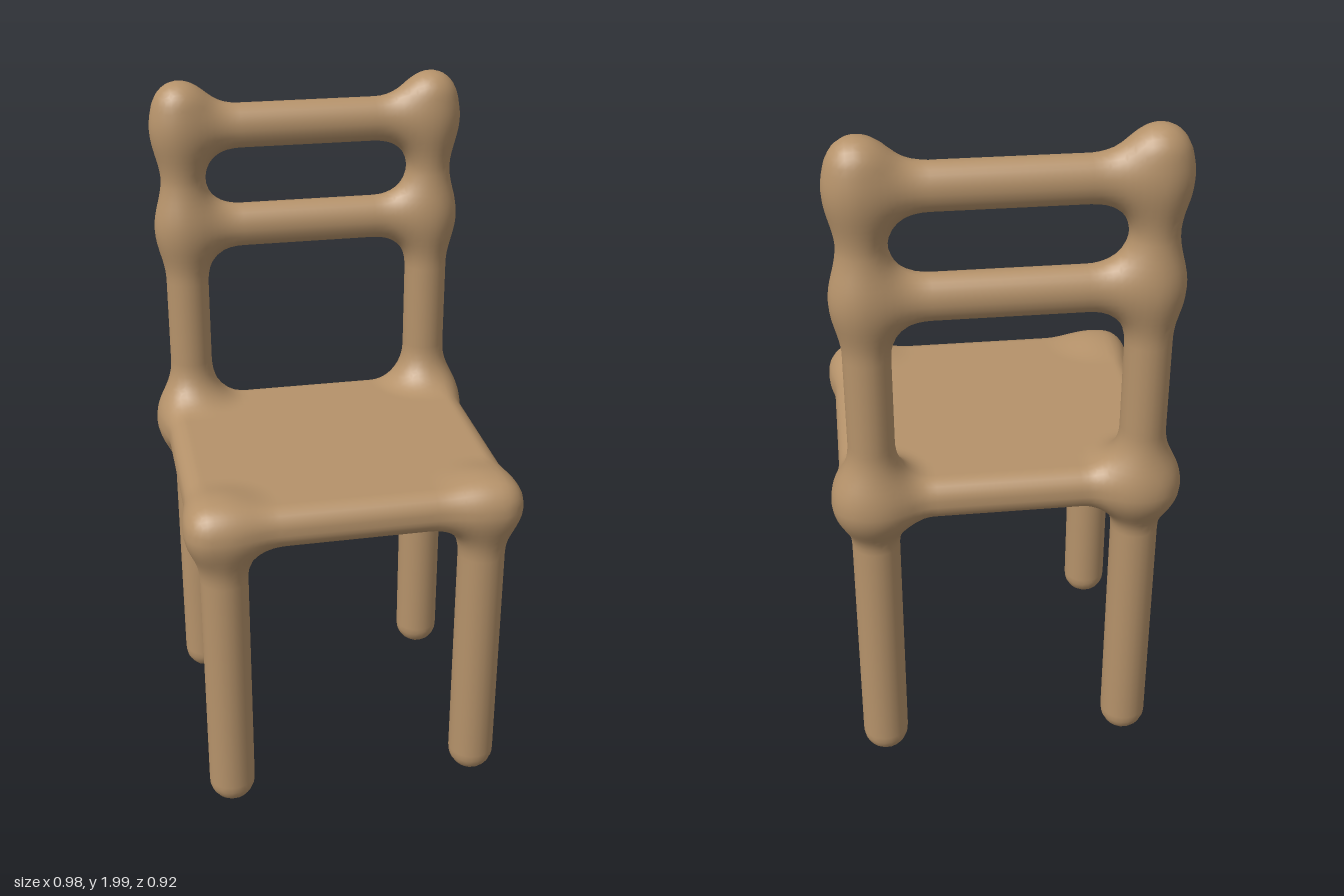
import * as THREE from 'three';

const BLEND = 0.11; // reach of the soft fillets where parts meet
const CELL = 0.02; // surface sampling step

// Distance to a capsule from a to b; zScale above 1 flattens it in depth
function capsule(name, a, b, r, zScale = 1) {
  const d = b.map((v, i) => v - a[i]);
  const len2 = d[0] ** 2 + d[1] ** 2 + d[2] ** 2;
  const dist = (x, y, z) => {
    const px = x - a[0], py = y - a[1], pz = z - a[2];
    const t = Math.min(1, Math.max(0, (px * d[0] + py * d[1] + pz * d[2]) / len2));
    return Math.hypot(px - d[0] * t, py - d[1] * t, (pz - d[2] * t) * zScale) - r;
  };
  return { name, dist };
}

// Distance to a box with rounded edges
function roundedBox(name, c, half, r) {
  const dist = (x, y, z) => {
    const qx = Math.abs(x - c[0]) - half[0] + r;
    const qy = Math.abs(y - c[1]) - half[1] + r;
    const qz = Math.abs(z - c[2]) - half[2] + r;
    return Math.hypot(Math.max(qx, 0), Math.max(qy, 0), Math.max(qz, 0))
      + Math.min(Math.max(qx, qy, qz), 0) - r;
  };
  return { name, dist };
}

function chairParts() {
  const parts = [roundedBox('seat', [0, 0.948, 0.007], [0.465, 0.0625, 0.425], 0.056)];
  for (const [side, s] of [['left', 1], ['right', -1]]) {
    const x = 0.373 * s;
    parts.push(capsule(side + 'FrontLeg', [x, 0.073, 0.355], [x, 0.93, 0.355], 0.068));
    parts.push(capsule(side + 'BackLeg', [x, 0.073, -0.335], [x, 0.93, -0.335], 0.068));
    parts.push(capsule(side + 'BackPost', [x, 0.95, -0.366], [x, 1.932, -0.366], 0.064));
  }
  for (const [name, y] of [['lowerRail', 1.565], ['upperRail', 1.865]]) {
    parts.push(capsule(name, [-0.37, y, -0.367], [0.37, y, -0.367], 0.065, 1.2));
  }
  return parts;
}

export function createModel() {
  const group = new THREE.Group();
  group.name = 'chair';
  const wood = new THREE.MeshStandardMaterial({ color: 0xb5926a });
  wood.name = 'wood';
  const parts = chairParts();

  // All parts melted together with a smooth minimum
  const field = (x, y, z) => {
    let d = Infinity;
    for (const p of parts) {
      const e = p.dist(x, y, z);
      const h = Math.max(BLEND - Math.abs(d - e), 0) / BLEND;
      d = Math.min(d, e) - h * h * BLEND / 4;
    }
    return d;
  };
  const gradient = ([x, y, z], e = 0.002) => [
    (field(x + e, y, z) - field(x - e, y, z)) / (2 * e),
    (field(x, y + e, z) - field(x, y - e, z)) / (2 * e),
    (field(x, y, z + e) - field(x, y, z - e)) / (2 * e),
  ];

  // Sample the field on a grid
  const origin = [-0.53, -0.05, -0.51];
  const n = [54, 107, 52];
  const stride = [1, n[0], n[0] * n[1]];
  const values = new Float32Array(n[0] * n[1] * n[2]);
  const at = (i, j, k) => i + j * stride[1] + k * stride[2];
  const eachCell = (from, fn) => {
    for (let k = from; k < n[2] - 1; k++)
      for (let j = from; j < n[1] - 1; j++)
        for (let i = from; i < n[0] - 1; i++) fn([i, j, k], at(i, j, k));
  };
  for (let k = 0; k < n[2]; k++)
    for (let j = 0; j < n[1]; j++)
      for (let i = 0; i < n[0]; i++)
        values[at(i, j, k)] = field(origin[0] + i * CELL, origin[1] + j * CELL, origin[2] + k * CELL);

  // One vertex per crossed cell, pulled exactly onto the surface
  const vertices = new Map();
  eachCell(0, (cell, id) => {
    const sum = [0, 0, 0];
    let count = 0;
    for (let c = 0; c < 8; c++) {
      const bits = [c & 1, (c >> 1) & 1, c >> 2];
      const a = values[id + bits[0] + bits[1] * stride[1] + bits[2] * stride[2]];
      for (let axis = 0; axis < 3; axis++) {
        if (bits[axis]) continue;
        const b = values[id + bits[0] + bits[1] * stride[1] + bits[2] * stride[2] + stride[axis]];
        if ((a < 0) === (b < 0)) continue;
        for (let m = 0; m < 3; m++) sum[m] += bits[m] + (m === axis ? a / (a - b) : 0);
        count++;
      }
    }
    if (!count) return;
    const p = sum.map((s, m) => origin[m] + (cell[m] + s / count) * CELL);
    for (let step = 0; step < 3; step++) {
      const g = gradient(p);
      const f = field(...p) / Math.max(g[0] ** 2 + g[1] ** 2 + g[2] ** 2, 0.1);
      for (let m = 0; m < 3; m++) p[m] -= f * g[m];
    }
    const normal = new THREE.Vector3(...gradient(p)).normalize().toArray();
    vertices.set(id, { p, normal });
  });

  // Join neighbouring vertices; each face goes to the part nearest to it
  const buffers = parts.map(() => ({ position: [], normal: [], index: [], seen: new Map() }));
  const addQuad = (ids) => {
    const corners = ids.map((id) => vertices.get(id));
    const mid = [0, 1, 2].map((m) => corners.reduce((s, c) => s + c.p[m], 0) / 4);
    const near = parts.map((p) => p.dist(...mid));
    const buf = buffers[near.indexOf(Math.min(...near))];
    const v = ids.map((id, c) => {
      if (!buf.seen.has(id)) {
        buf.seen.set(id, buf.position.length / 3);
        buf.position.push(...corners[c].p);
        buf.normal.push(...corners[c].normal);
      }
      return buf.seen.get(id);
    });
    buf.index.push(v[0], v[1], v[2], v[0], v[2], v[3]);
  };
  eachCell(1, (cell, id) => {
    for (let axis = 0; axis < 3; axis++) {
      const inside = values[id] < 0;
      if (inside === values[id + stride[axis]] < 0) continue;
      const u = stride[(axis + 1) % 3], v = stride[(axis + 2) % 3];
      const quad = [id - u - v, id - v, id, id - u];
      addQuad(inside ? quad : quad.reverse());
    }
  });

  // One named mesh per part
  parts.forEach((part, i) => {
    const geometry = new THREE.BufferGeometry();
    geometry.setAttribute('position', new THREE.Float32BufferAttribute(buffers[i].position, 3));
    geometry.setAttribute('normal', new THREE.Float32BufferAttribute(buffers[i].normal, 3));
    geometry.setIndex(buffers[i].index);
    const mesh = new THREE.Mesh(geometry, wood);
    mesh.name = part.name;
    group.add(mesh);
  });
  return group;
}
